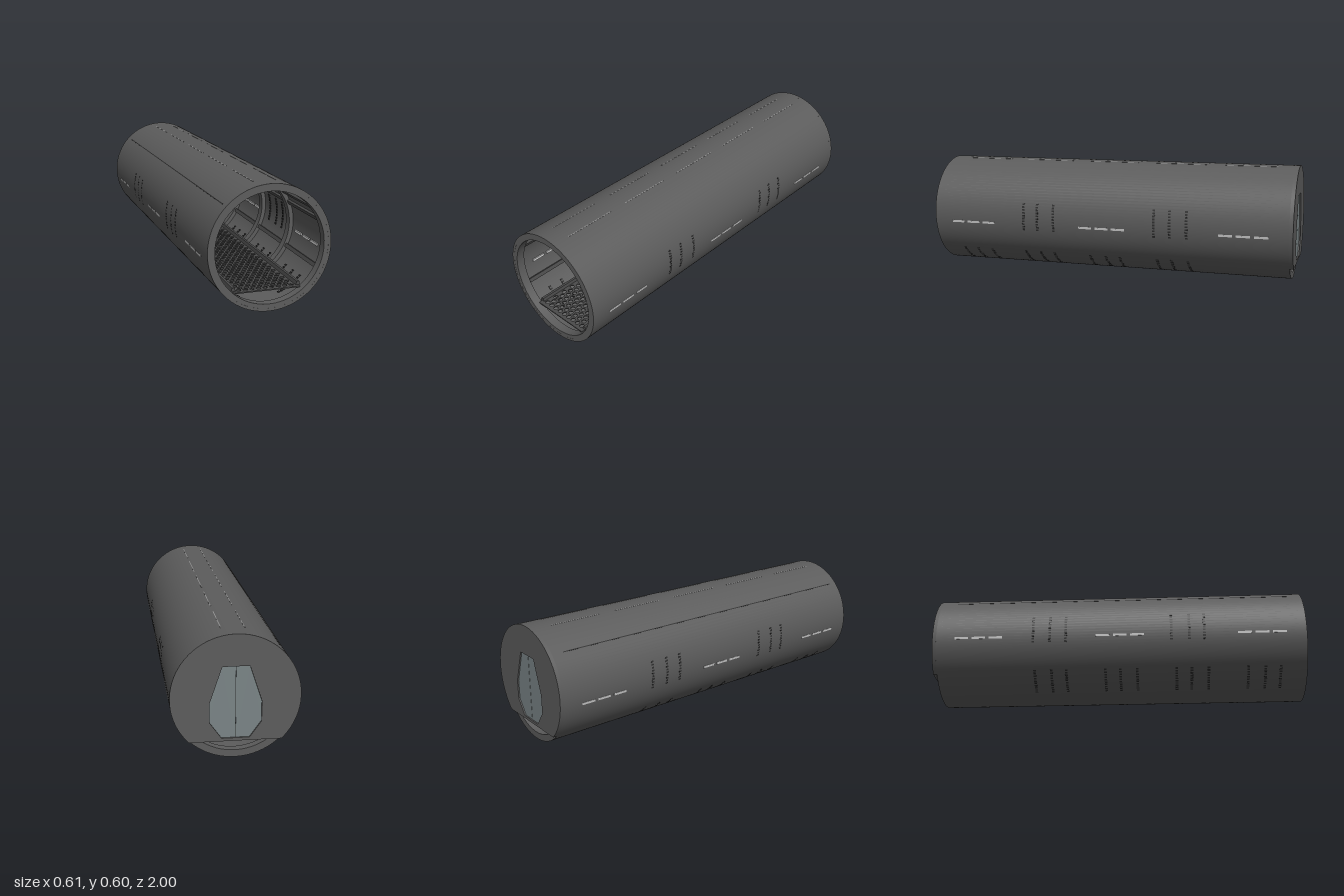
import * as THREE from 'three';
import { mergeGeometries, toCreasedNormals } from 'three/addons/utils/BufferGeometryUtils.js';

const R = 0.302, CY = 0.302, FLOOR = 0.09, BACK = -0.98;
const mat = (color) => new THREE.MeshStandardMaterial({ color });
const V = (x, y) => new THREE.Vector2(x, y);
const rad = THREE.MathUtils.degToRad;

export function createModel() {
  const model = new THREE.Group();
  const hull = mat(0x5c5c5c), dark = mat(0x2c2c2c), trim = mat(0x4a4a4a);
  const light = mat(0xcccccc), doorMat = mat(0x7a8486);

  function add(name, parts, material, parent = model) {
    const list = [].concat(parts).map((g) => (g.index ? g.toNonIndexed() : g));
    const mesh = new THREE.Mesh(list.length > 1 ? mergeGeometries(list) : list[0], material);
    mesh.name = name;
    parent.add(mesh);
    return mesh;
  }
  const box = (x, y, z, w, h, d) => new THREE.BoxGeometry(w, h, d).translate(x, y, z);
  const extrude = (shape, z0, z1, curveSegments = 12) =>
    new THREE.ExtrudeGeometry(shape, { depth: z1 - z0, bevelEnabled: false, curveSegments }).translate(0, 0, z0);

  // Round band about the tube's axis
  function ring(rIn, rOut, z0, z1) {
    const s = new THREE.Shape().absarc(0, CY, rOut, 0, Math.PI * 2);
    s.holes.push(new THREE.Path().absarc(0, CY, rIn, 0, Math.PI * 2, true));
    return toCreasedNormals(extrude(s, z0, z1, 56), 0.5);
  }
  // Block set in the wall at an angle, running between two radii
  const onWall = (angle, r0, r1, width, z, length) =>
    new THREE.BoxGeometry(r1 - r0, width, length)
      .translate((r0 + r1) / 2, 0, 0).rotateZ(angle).translate(0, CY, z);
  const bothSides = (angle) => [angle, Math.PI - angle];

  // Tube shell and the frames inside it
  add('tubeShell', ring(0.288, R, BACK, 1), hull);
  add('endFrames', [ring(0.267, 0.29, 0.955, 0.9995), ring(0.267, 0.29, BACK, -0.94)], hull);
  add('innerFrames', [-0.57, -0.19, 0.19, 0.57].map((z) => ring(0.267, 0.29, z - 0.022, z + 0.022)), hull);
  const stringers = [];
  for (const deg of [-26, 22, 36, 52, 68])
    for (const a of bothSides(rad(deg))) stringers.push(onWall(a, 0.275, 0.292, 0.02, 0, 1.9));
  stringers.push(onWall(Math.PI / 2, 0.273, 0.292, 0.03, 0, 1.9));
  add('wallStringers', stringers, trim);

  // Light strips on the sides and along the roof
  const sideLights = [], roofLights = [];
  for (const a of bothSides(-0.133))
    for (const zc of [0.765, 0.01, -0.75])
      for (const dz of [-0.092, 0, 0.092]) sideLights.push(onWall(a, 0.28, R + 0.001, 0.012, zc + dz, 0.073));
  for (const a of bothSides(Math.acos(0.055 / R)))
    for (let i = -2; i <= 2; i++) roofLights.push(onWall(a, 0.28, R + 0.0008, 0.004, 0.01 + i * 0.38, 0.28));
  add('sideLights', sideLights, light);
  add('roofLights', roofLights, mat(0x909090));

  // Columns of small vent holes
  const vents = [];
  const ventColumns = (zs, a0, a1, count) => {
    for (const z of zs)
      for (let i = 0; i < count; i++)
        for (const a of bothSides(rad(a0 + ((a1 - a0) * i) / (count - 1))))
          vents.push(onWall(a, 0.284, R + 0.0006, 0.009, z, 0.014));
  };
  ventColumns([0.46, 0.38, 0.285, -0.28, -0.365, -0.455], -13, 14, 10);
  ventColumns([0.86, 0.78, 0.69, 0.48, 0.39, 0.31, 0.1, 0.01, -0.07, -0.28, -0.36, -0.45], -69, -43, 10);
  add('ventHoles', vents, dark);
  add('roofSeam', onWall(Math.PI - Math.acos(0.215 / R), 0.29, R + 0.0005, 0.005, 0.015, 1.87), dark);

  // Grated floor with staggered hexagonal holes
  const deck = new THREE.Shape([V(-0.165, -0.97), V(0.165, -0.97), V(0.165, 0.979), V(-0.165, 0.979)]);
  for (let row = 0; row < 68; row++) {
    const odd = row % 2;
    for (let col = 0; col < 9 - odd; col++) {
      const x = (col - 4 + odd / 2) * 0.033, y = -0.94 + row * 0.028;
      const pts = [];
      for (let k = 0; k < 6; k++) pts.push(V(x + 0.0125 * Math.sin(k * Math.PI / 3), y + 0.0125 * Math.cos(k * Math.PI / 3)));
      deck.holes.push(new THREE.Path(pts));
    }
  }
  add('floorGrating', extrude(deck, 0, 0.006).rotateX(-Math.PI / 2).translate(0, FLOOR - 0.001, 0), trim);
  const rail = new THREE.Shape([V(0.148, 0.086), V(0.175, 0.086), V(0.169, 0.112), V(0.156, 0.112)]);
  const railGeo = extrude(rail, -0.975, 0.95);
  add('rightFloorRail', railGeo.clone().translate(-0.323, 0, 0), trim);
  add('leftFloorRail', railGeo, trim);

  // End wall, cut off at floor level, with an opening for the door
  const outline = [V(-0.063, 0.452), V(-0.12, 0.28), V(-0.12, 0.182), V(-0.065, 0.105),
    V(0.065, 0.105), V(0.12, 0.182), V(0.12, 0.28), V(0.063, 0.452)];
  const grow = (k) => outline.map((p) => V(p.x * k, 0.28 + (p.y - 0.28) * k));
  const cut = Math.asin((FLOOR - CY) / R);
  const wall = new THREE.Shape().absarc(0, CY, R, cut, Math.PI - cut);
  wall.holes.push(new THREE.Path(outline));
  add('endWall', toCreasedNormals(extrude(wall, -1, BACK, 56), 0.5), hull);

  // Double door with grooves on its inner face
  const door = new THREE.Group();
  door.name = 'door';
  model.add(door);
  const leaf = new THREE.Shape([V(0.0012, 0.105), V(0.065, 0.105), V(0.12, 0.182), V(0.12, 0.28), V(0.063, 0.452), V(0.0012, 0.452)]);
  const leafGeo = extrude(leaf, -0.993, -0.981);
  add('leftDoorLeaf', leafGeo, doorMat, door);
  add('rightDoorLeaf', leafGeo.clone().rotateY(Math.PI).translate(0, 0, -1.974), doorMat, door);
  add('doorSeam', box(0, 0.2785, -0.987, 0.004, 0.346, 0.008), dark, door);
  const frame = new THREE.Shape(grow(1.01));
  frame.holes.push(new THREE.Path(grow(0.988)));
  add('doorFrame', extrude(frame, -0.982, -0.976), light, door);
  const grooves = [];
  const paths = [
    [[0.056, 0.436], [0.03, 0.305], [0.006, 0.305]],
    [[0.092, 0.338], [0.062, 0.3], [0.062, 0.277], [0.116, 0.238]],
    [[0.088, 0.142], [0.03, 0.27], [0.006, 0.27]],
    [[0.006, 0.448], [0.006, 0.108]],
  ];
  for (const side of [-1, 1])
    for (const path of paths)
      for (let i = 1; i < path.length; i++) {
        const [x0, y0] = path[i - 1], [x1, y1] = path[i];
        const dx = (x1 - x0) * side, dy = y1 - y0;
        grooves.push(new THREE.BoxGeometry(Math.hypot(dx, dy) + 0.002, 0.0035, 0.002)
          .rotateZ(Math.atan2(dy, dx)).translate(side * (x0 + x1) / 2, (y0 + y1) / 2, -0.9805));
      }
  add('doorGrooves', grooves, dark, door);

  // Lamp above the door
  const slot = new THREE.Shape([V(-0.065, 0.485), V(0.065, 0.485), V(0.075, 0.493), V(0.075, 0.507), V(0.065, 0.515), V(-0.065, 0.515), V(-0.075, 0.507), V(-0.075, 0.493)]);
  add('lampHousing', extrude(slot, BACK, -0.974), dark);
  add('lampTube', new THREE.CylinderGeometry(0.011, 0.011, 0.118, 16).rotateZ(Math.PI / 2).translate(0, 0.5, -0.974), light);
  add('lampEnds', [-1, 1].map((s) => new THREE.SphereGeometry(0.013, 16, 10).translate(s * 0.062, 0.5, -0.976)), trim);

  // Wall controls: round buttons, slots, bars and a small screen
  add('roundButtons', [-0.221, -0.185, -0.149].map((x) =>
    new THREE.SphereGeometry(0.014, 20, 12).scale(1, 1, 0.6).translate(x, 0.31, BACK)), mat(0x999999));
  const slots = [0, 1, 2, 3, 4].map((i) => -0.214 + i * 0.0162);
  add('wallSlots', slots.map((x) => box(x, 0.227, BACK, 0.008, 0.09, 0.006)), dark);
  add('slotFins', slots.map((x) => box(x, 0.227, BACK, 0.003, 0.084, 0.009)), hull);
  add('controlBars', [0.34, 0.31, 0.281].map((y) => box(0.188, y, BACK, 0.078, 0.013, 0.012)), mat(0xb0b0b0));
  add('screenFrame', box(0.188, 0.243, BACK, 0.08, 0.037, 0.01), trim);
  add('screen', box(0.188, 0.243, BACK, 0.068, 0.026, 0.014), light);

  return model;
}
